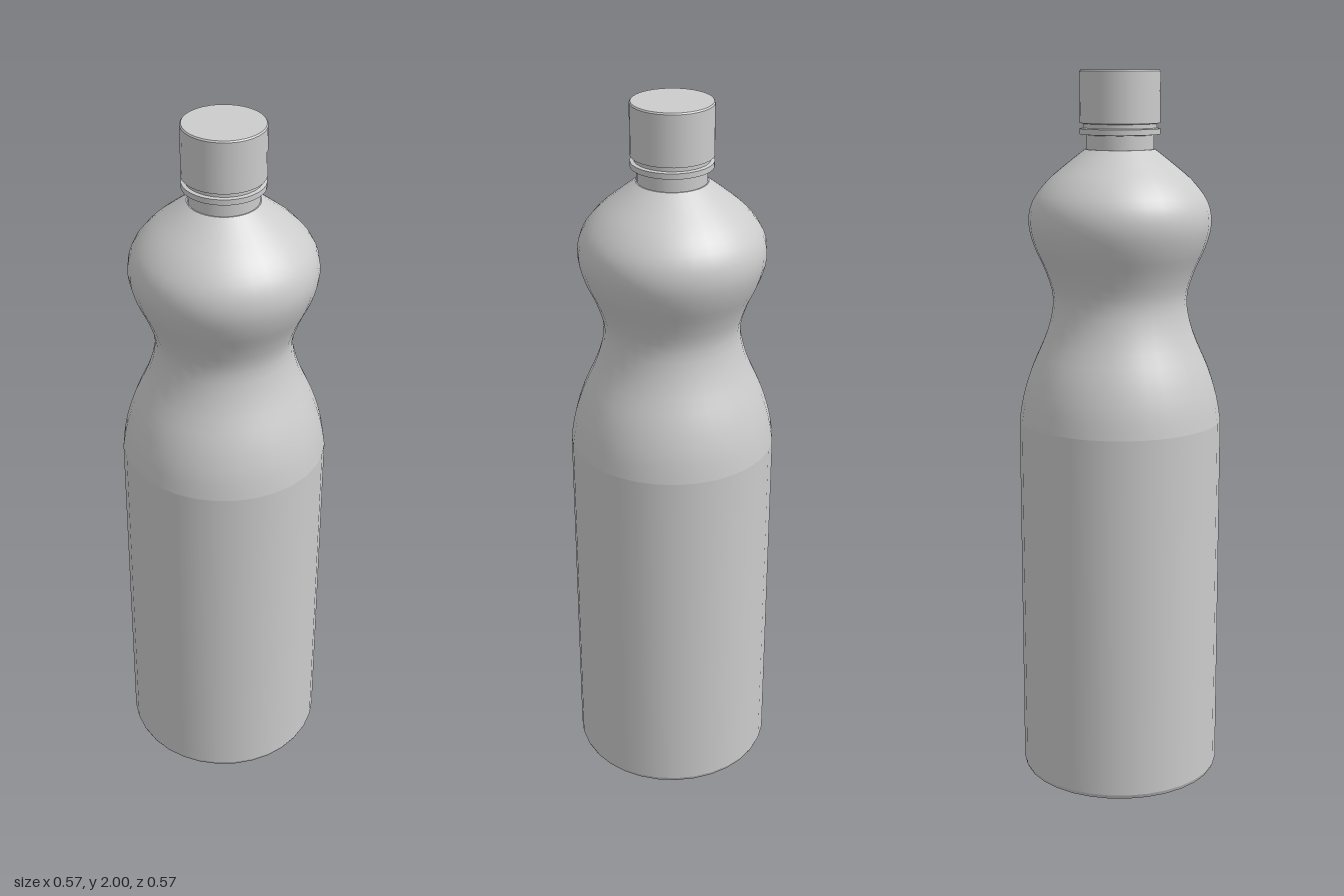
import * as THREE from 'three';

const SIDES = 32;
const material = new THREE.MeshStandardMaterial({ color: 0xcccccc });
const toVectors = (points) => points.map(([r, y]) => new THREE.Vector2(r, y));

// Turned part from a [radius, height] profile, listed bottom to top
function turned(name, points) {
  const mesh = new THREE.Mesh(new THREE.LatheGeometry(points, SIDES), material);
  mesh.name = name;
  return mesh;
}

// Turned part with hard edges: one band per profile step
function turnedSharp(name, points) {
  const group = new THREE.Group();
  group.name = name;
  const p = toVectors(points);
  for (let i = 0; i < p.length - 1; i++) group.add(turned(name + 'Band', [p[i], p[i + 1]]));
  return group;
}

export function createModel() {
  const bottle = new THREE.Group();
  bottle.name = 'bottle';

  // Flat base with a small bevel
  bottle.add(turnedSharp('base', [[0, 0], [0.279, 0], [0.284, 0.012]]));

  // Straight lower body
  bottle.add(turned('body', toVectors([[0.284, 0.012], [0.284, 1.04]])));

  // Shoulder, pinched grip and rounded upper bulb
  const curve = new THREE.SplineCurve(toVectors([
    [0.284, 1.04], [0.272, 1.11], [0.247, 1.19], [0.204, 1.29], [0.186, 1.38],
    [0.205, 1.455], [0.236, 1.525], [0.252, 1.59], [0.241, 1.65], [0.2, 1.705],
    [0.145, 1.752], [0.096, 1.79],
  ]));
  bottle.add(turned('gripAndShoulder', curve.getPoints(33)));

  // Neck with its collar
  bottle.add(turnedSharp('neck', [
    [0.096, 1.79], [0.093, 1.79], [0.093, 1.828],
  ]));
  bottle.add(turnedSharp('collar', [
    [0.093, 1.828], [0.11, 1.83], [0.11, 1.845], [0.1, 1.847], [0.1, 1.858],
  ]));

  // Screw cap
  bottle.add(turnedSharp('cap', [
    [0.1, 1.858], [0.11, 1.86], [0.11, 1.996], [0.107, 2], [0, 2],
  ]));

  return bottle;
}
